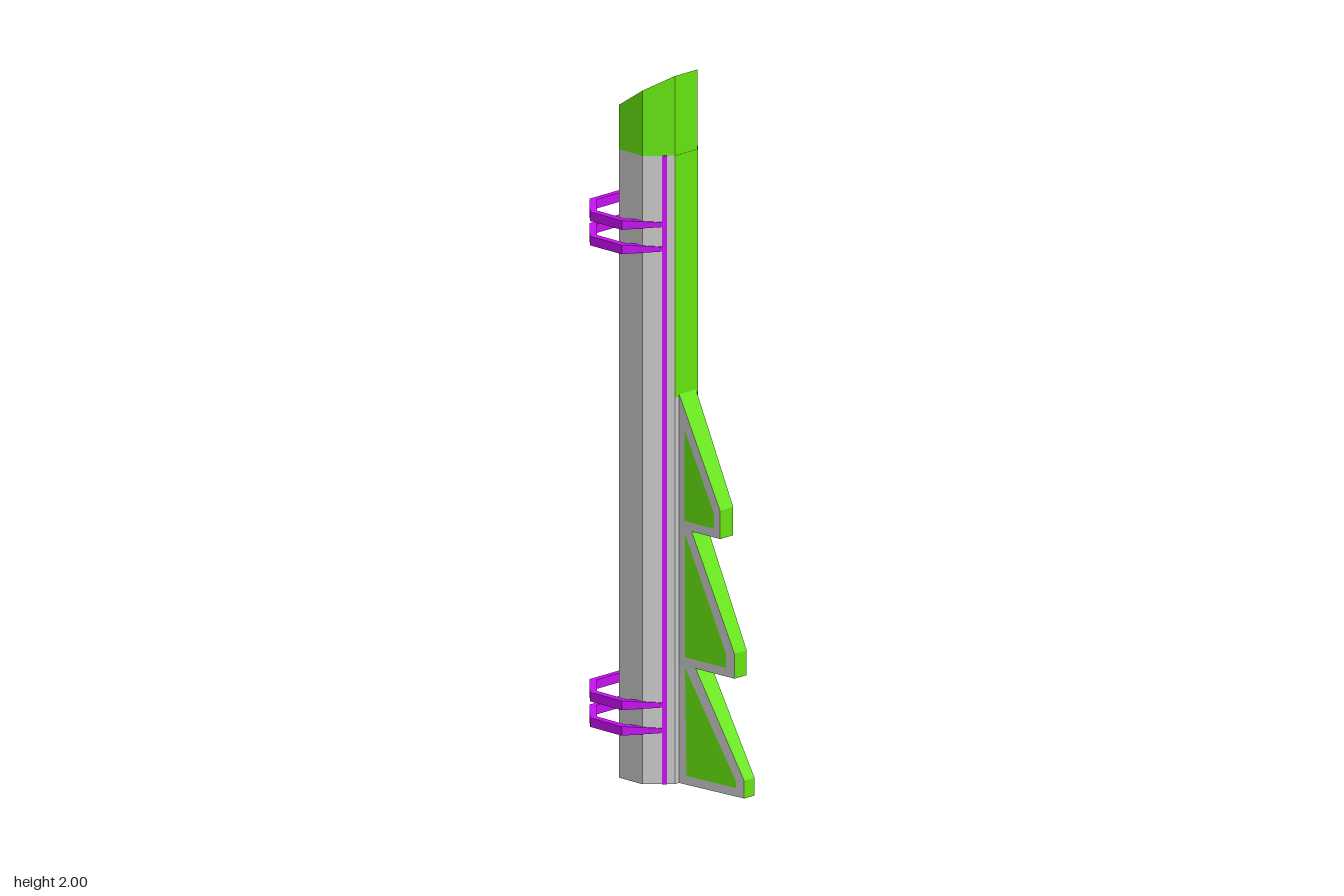
import * as THREE from 'three';

const CX = -0.069, CZ = -0.003, APOTHEM = 0.106;   // octagonal barrel axis and half width
const CAP_Y = 1.775;

const paint = (color) => new THREE.MeshStandardMaterial({ color, flatShading: true });

export function createModel() {
  const root = new THREE.Group();
  root.name = 'finnedTube';
  const grey = paint(0xcccccc), green = paint(0x68e810), purple = paint(0xcc10f8);

  const add = (name, geometry, material, x = 0, y = 0, z = 0) => {
    const mesh = new THREE.Mesh(geometry, material);
    mesh.name = name;
    mesh.position.set(x, y, z);
    root.add(mesh);
    return mesh;
  };

  // Octagonal barrel
  const radius = APOTHEM / Math.cos(Math.PI / 8);
  const prism = (h, open) => new THREE.CylinderGeometry(radius, radius, h, 8, 1, open, Math.PI / 8);
  add('barrel', prism(CAP_Y, false), grey, CX, CAP_Y / 2, CZ);

  // Coloured end cap, cut on a slant
  const cap = prism(1, false);
  const cp = cap.attributes.position;
  for (let i = 0; i < cp.count; i++) {
    const slant = 1.93 + 0.07 * cp.getX(i) / APOTHEM;
    cp.setY(i, cp.getY(i) > 0 ? slant : CAP_Y);
  }
  add('slantedCap', cap, green, CX, 0, CZ);

  // Wide strip running down the finned face
  const faceWidth = 2 * APOTHEM * Math.tan(Math.PI / 8);
  add('faceStrip', new THREE.BoxGeometry(0.002, CAP_Y - 1.09, faceWidth), green,
    CX + APOTHEM, (CAP_Y + 1.09) / 2, CZ);

  // Thin pinstripes on the two neighbouring slanted faces
  for (const s of [1, -1]) {
    const stripe = add('pinstripe', new THREE.BoxGeometry(0.014, CAP_Y, 0.004), purple,
      0.0175, CAP_Y / 2, CZ + s * 0.0635);
    stripe.rotation.y = s * Math.PI / 4;
  }

  // Saw-tooth fins: tapered slabs with coloured rims and an inset panel on the front
  const fins = [
    {
      outline: [[0.03, 1.1], [0.03, 0.72], [0.19, 0.72], [0.19, 0.8], [0.037, 1.1]],
      panel: [[0.06, 1.0], [0.06, 0.745], [0.168, 0.745], [0.168, 0.79]],
      front: 0.022, back: -0.029,
    },
    {
      outline: [[0.03, 0.72], [0.03, 0.335], [0.24, 0.335], [0.24, 0.405], [0.083, 0.72]],
      panel: [[0.06, 0.71], [0.06, 0.36], [0.21, 0.36], [0.21, 0.4]],
      front: 0.017, back: -0.03,
    },
    {
      outline: [[0.03, 0.335], [0.03, 0], [0.267, 0], [0.267, 0.05], [0.095, 0.335]],
      panel: [[0.06, 0.33], [0.065, 0.025], [0.24, 0.025], [0.24, 0.042]],
      front: 0.007, back: -0.033,
    },
  ];
  const shapeOf = (pts) => new THREE.Shape(pts.map(([x, y]) => new THREE.Vector2(x, y)));
  for (const { outline, panel, front, back } of fins) {
    const tip = outline[2][0];
    const along = (x) => (x - 0.037) / (tip - 0.037);
    const frontZ = (x) => THREE.MathUtils.lerp(0.025, front, along(x));
    const backZ = (x) => THREE.MathUtils.lerp(-0.04, back, along(x));

    const slab = new THREE.ExtrudeGeometry(shapeOf(outline), { depth: 1, bevelEnabled: false });
    const sp = slab.attributes.position;
    for (let i = 0; i < sp.count; i++) {
      const x = sp.getX(i);
      sp.setZ(i, sp.getZ(i) > 0.5 ? frontZ(x) : backZ(x));
    }
    slab.computeVertexNormals();
    add('fin', slab, [grey, green]);

    const inset = new THREE.ShapeGeometry(shapeOf(panel));
    const ip = inset.attributes.position;
    for (let i = 0; i < ip.count; i++) ip.setZ(i, frontZ(ip.getX(i)) + 0.0015);
    inset.computeVertexNormals();
    add('finPanel', inset, green);
  }

  // Angular hoops, open toward the barrel, with arms that narrow at the ends
  const hoop = hoopGeometry();
  for (const y of [1.581, 1.512, 0.224, 0.152]) add('hoop', hoop, purple, 0, y, 0);

  return root;
}

function hoopGeometry() {
  // Each station: outer x, outer z, inner x, inner z, half height
  const half = [
    [0.022, 0.061, -0.004, 0.061, 0.006],
    [-0.06, 0.147, -0.07, 0.126, 0.013],
    [-0.181, 0.147, -0.174, 0.126, 0.013],
    [-0.268, 0.06, -0.25, 0.052, 0.013],
  ];
  const mirrored = half.map(([ox, oz, ix, iz, h]) => [ox, -oz, ix, -iz, h]).reverse();
  const stations = [...half, ...mirrored];

  const positions = [], index = [];
  for (const [ox, oz, ix, iz, h] of stations) {
    positions.push(ox, h, oz, ix, h, iz, ix, -h, iz, ox, -h, oz);
  }
  for (let s = 0; s < stations.length - 1; s++) {
    for (let k = 0; k < 4; k++) {
      const a = s * 4 + k, b = s * 4 + (k + 1) % 4;
      index.push(a, b, a + 4, b, b + 4, a + 4);
    }
  }
  // End faces
  const e = (stations.length - 1) * 4;
  index.push(0, 2, 1, 0, 3, 2, e, e + 1, e + 2, e, e + 2, e + 3);

  const geometry = new THREE.BufferGeometry();
  geometry.setAttribute('position', new THREE.Float32BufferAttribute(positions, 3));
  geometry.setIndex(index);
  const flat = geometry.toNonIndexed();
  flat.computeVertexNormals();
  return flat;
}
